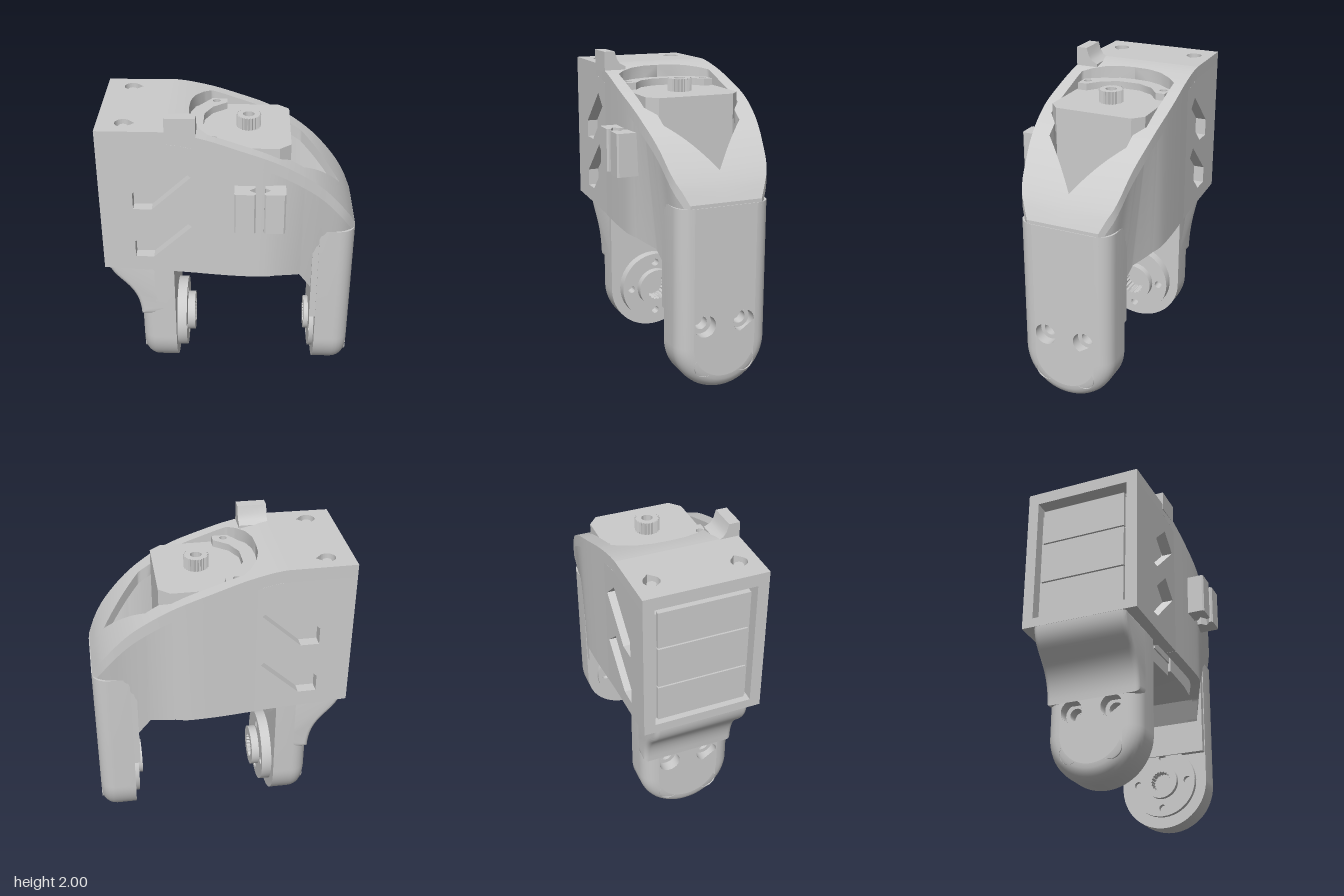
import * as THREE from 'three';
import { toCreasedNormals, mergeGeometries } from 'three/addons/utils/BufferGeometryUtils.js';

const CZ = -0.055; // centre plane of the bracket
const grey = new THREE.MeshStandardMaterial({ color: 0xcccccc, side: THREE.DoubleSide });

// Piecewise lookup, linear or smooth (Hermite)
function lookup(table, smooth = true) {
  const slope = (i) => {
    const a = table[Math.max(i - 1, 0)], b = table[Math.min(i + 1, table.length - 1)];
    return (b[1] - a[1]) / (b[0] - a[0]);
  };
  return (x) => {
    let i = 0;
    while (i < table.length - 2 && x > table[i + 1][0]) i++;
    const [x0, y0] = table[i], [x1, y1] = table[i + 1];
    const d = x1 - x0, t = THREE.MathUtils.clamp((x - x0) / d, 0, 1);
    if (!smooth) return y0 + (y1 - y0) * t;
    const t2 = t * t, t3 = t2 * t;
    return (2 * t3 - 3 * t2 + 1) * y0 + (t3 - 2 * t2 + t) * d * slope(i)
      + (3 * t2 - 2 * t3) * y1 + (t3 - t2) * d * slope(i + 1);
  };
}
const topY = lookup([[-0.8, 1.91], [-0.38, 1.91], [-0.16, 1.87], [0.06, 1.8], [0.25, 1.73], [0.4, 1.65],
  [0.55, 1.54], [0.68, 1.4], [0.76, 1.28], [0.8, 1.19]]);
const halfW = lookup([[-0.8, 0.38], [-0.38, 0.385], [0.15, 0.4], [0.4, 0.38], [0.6, 0.34], [0.72, 0.305], [0.8, 0.23]]);
const bottomY = lookup([[-0.8, 0.94], [-0.36, 0.92], [0, 0.9], [0.3, 0.89], [0.45, 0.85], [0.53, 0.72], [0.8, 0.72]], false);
const holeW = lookup([[-0.26, 0], [-0.255, 0.1], [-0.23, 0.19], [-0.18, 0.27], [-0.13, 0.32], [0.3, 0.32],
  [0.37, 0.26], [0.45, 0.255], [0.7, 0], [0.8, 0]], false);
const SLAB = 0.08, WALL = 0.07;

// Four-cornered sections along x, mirrored about the centre plane
function loft(xs, section) {
  const parts = [];
  const add = (pos, idx) => {
    const g = new THREE.BufferGeometry();
    g.setAttribute('position', new THREE.Float32BufferAttribute(pos, 3));
    g.setIndex(idx);
    g.computeVertexNormals();
    parts.push(g);
  };
  for (const s of [1, -1]) {
    const at = (x, k) => { const p = section(x)[k % 4]; return [x, p[1], CZ + s * p[0]]; };
    for (let k = 0; k < 4; k++) {
      const pos = [], idx = [];
      xs.forEach((x, i) => {
        pos.push(...at(x, k), ...at(x, k + 1));
        const a = 2 * i;
        if (i < xs.length - 1) idx.push(...(s > 0 ? [a, a + 2, a + 3, a, a + 3, a + 1] : [a, a + 3, a + 2, a, a + 1, a + 3]));
      });
      add(pos, idx);
    }
    [xs[0], xs[xs.length - 1]].forEach((x, e) => {
      const pos = [0, 1, 2, 3].flatMap((k) => at(x, k));
      add(pos, (e === 1) === (s > 0) ? [0, 2, 1, 0, 3, 2] : [0, 1, 2, 0, 2, 3]);
    });
  }
  return mergeGeometries(parts);
}

const poly = (pts) => new THREE.Shape(pts.map((p) => new THREE.Vector2(...p)));
const circle = (x, y, r) => new THREE.Path().absarc(x, y, r, 0, Math.PI * 2);
const extrude = (shape, depth, opts = {}) =>
  toCreasedNormals(new THREE.ExtrudeGeometry(shape, { depth, bevelEnabled: false, curveSegments: 20, ...opts }), 0.6);
// Extrude an (x, z) outline upward from y0 to y1
const plate = (shape, y0, y1) => extrude(shape, y1 - y0).rotateX(Math.PI / 2).translate(0, y1, 0);
const gear = (r0, r1, n) => Array.from({ length: n * 2 }, (_, i) => {
  const a = (i / n) * Math.PI, r = i % 2 ? r0 : r1;
  return new THREE.Vector2(r * Math.cos(a), r * Math.sin(a));
});

const SCREWS = [[-0.13, 0.18], [0.13, 0.18], [-0.13, 0.44], [0.13, 0.44]];

// Leg with round foot and rolled outer edge; outer face looks along +z at z = 0
function legGeometry(top, depth) {
  const r = 0.305, b = 0.1, n = 32;
  const ring = (d) => {
    const p = [];
    for (let i = 0; i <= n; i++) {
      const a = Math.PI * (1 + i / n);
      p.push([(r - d) * Math.cos(a), r + (r - d) * Math.sin(a)]);
    }
    return [...p, [r - d, top], [d - r, top]];
  };
  const levels = [[0, -depth]];
  for (let i = 0; i <= 6; i++) {
    const a = (i / 6) * Math.PI / 2;
    levels.push([b * (1 - Math.cos(a)), -b + b * Math.sin(a)]);
  }
  const m = n + 3, pos = [], idx = [];
  levels.forEach(([d, z]) => ring(d).forEach((p) => pos.push(p[0], p[1], z)));
  for (let l = 0; l < levels.length - 1; l++) for (let i = 0; i < m; i++) {
    const a = l * m + i, c = l * m + (i + 1) % m;
    idx.push(a, c, c + m, a, c + m, a + m);
  }
  const band = new THREE.BufferGeometry();
  band.setAttribute('position', new THREE.Float32BufferAttribute(pos, 3));
  band.setIndex(idx);
  // Outer face with counterbored screw holes
  const face = poly(ring(b));
  SCREWS.forEach(([x, y]) => face.holes.push(circle(x, y, 0.07)));
  const parts = [toCreasedNormals(band, 0.6), new THREE.ShapeGeometry(face, 20),
    new THREE.ShapeGeometry(poly(ring(0))).rotateY(Math.PI).translate(0, 0, -depth)];
  SCREWS.forEach(([x, y]) => {
    const bore = [[0, -0.14], [0.042, -0.14], [0.042, -0.07], [0.07, -0.07], [0.07, 0]].map((p) => new THREE.Vector2(...p));
    parts.push(toCreasedNormals(new THREE.LatheGeometry(bore, 24).rotateX(Math.PI / 2), 0.6).translate(x, y, 0));
  });
  return mergeGeometries(parts.map((g) => {
    const f = g.index ? g.toNonIndexed() : g;
    f.deleteAttribute('uv');
    return f;
  }));
}

export function createModel() {
  const model = new THREE.Group();
  const add = (name, geometry) => {
    const mesh = new THREE.Mesh(geometry, grey);
    mesh.name = name;
    model.add(mesh);
    return mesh;
  };
  const box = (name, x0, x1, y0, y1, hw) =>
    add(name, new THREE.BoxGeometry(x1 - x0, y1 - y0, hw * 2).translate((x0 + x1) / 2, (y0 + y1) / 2, CZ));

  // Curved cover with arrow-shaped opening, and the side walls below it
  const breaks = [-0.38, -0.26, -0.255, -0.23, -0.18, -0.13, 0.3, 0.37, 0.45, 0.53, 0.7, 0.795];
  const xs = [...breaks];
  for (let x = -0.35; x < 0.79; x += 0.03) if (breaks.every((v) => Math.abs(v - x) > 0.006)) xs.push(x);
  xs.sort((a, b) => a - b);
  add('cover', loft(xs, (x) => {
    const h = topY(x), w = halfW(x), o = holeW(x);
    return [[w, h - SLAB], [w, h], [o, h], [o, h - SLAB]];
  }));
  add('curvedWalls', loft([-0.2, ...xs.filter((x) => x > -0.19)], (x) => {
    const w = halfW(x), h = topY(x) - SLAB, wb = w - 0.1 * THREE.MathUtils.smoothstep(x, 0.2, 0.6);
    return [[wb, bottomY(x)], [w, h], [w - WALL, h], [wb - WALL, bottomY(x)]];
  }));

  // Flat rear top with two teardrop screw holes
  const rear = poly([[-0.8, CZ - 0.38], [-0.38, CZ - 0.385], [-0.38, CZ + 0.385], [-0.8, CZ + 0.38]]);
  for (const z of [-0.32, 0.21]) {
    const drop = new THREE.Path();
    drop.absarc(-0.64, z, 0.05, Math.PI / 4, Math.PI * 1.75);
    drop.lineTo(-0.57, z);
    rear.holes.push(drop);
    add('topScrew', new THREE.CylinderGeometry(0.028, 0.028, 0.06, 20).translate(-0.64, 1.86, z));
  }
  add('rearTop', plate(rear, 1.91 - SLAB, 1.91));

  // Flat rear walls with slanted slots
  for (const s of [1, -1]) {
    const wall = poly([[-0.8, 0.94], [-0.36, 0.92], [-0.2, 0.912], [-0.2, topY(-0.2) - SLAB],
      [-0.3, topY(-0.3) - SLAB], [-0.38, 1.83], [-0.8, 1.83]]);
    for (const dy of [0, -0.35])
      wall.holes.push(poly([[-0.595, 1.38], [-0.595, 1.49], [-0.35, 1.715], [-0.235, 1.61], [-0.48, 1.38]].map(([x, y]) => [x, y + dy])));
    const g = extrude(wall, WALL), p = g.attributes.position;
    for (let i = 0; i < p.count; i++) p.setZ(i, p.getZ(i) + CZ - WALL / 2 + s * (halfW(p.getX(i)) - WALL / 2));
    add('slottedWall', g);
  }
  box('rearFloor', -0.8, -0.3, 0.94, 1.0, 0.375);
  const floor = poly([[0.05, 0.9], [0.3, 0.89], [0.45, 0.85], [0.53, 0.72], [0.6, 0.72], [0.6, 1.1], [0.05, 1.1]]);
  add('frontFloor', extrude(floor, 0.52).translate(0, 0, CZ - 0.26));

  // Servo: casing, rear panels, top block, crescent flange and splined shaft
  box('servoCasing', -0.745, -0.2, 0.98, 1.76, 0.3);
  box('servoFront', -0.2, 0.37, 0.96, 1.62, 0.25);
  box('servoFoot', -0.3, 0.05, 0.87, 1.0, 0.24);
  [[1.01, 1.25], [1.26, 1.53], [1.54, 1.78]].forEach(([a, b]) => box('servoPanel', -0.77, -0.74, a, b, 0.28));
  const R = 0.31;
  const head = poly([[-0.18, 0.24], [-0.12, R], [0.3, R], [0.37, 0.25], [0.37, -0.25], [0.3, -R], [-0.12, -R], [-0.18, -0.24]]);
  add('servoTop', plate(head, 1.61, 1.77).translate(0, 0, CZ));
  const crescent = poly([[-0.03, 0.3], [-0.13, 0.3], [-0.2, 0.2], [-0.245, 0.08], [-0.245, -0.08], [-0.2, -0.2], [-0.13, -0.3],
    [-0.03, -0.3], [-0.03, -0.24], [-0.12, -0.17], [-0.17, -0.07], [-0.17, 0.07], [-0.12, 0.17], [-0.03, 0.24]]);
  for (const s of [1, -1]) crescent.holes.push(circle(-0.1, s * 0.264, 0.024));
  add('servoFlange', plate(crescent, 1.7, 1.815).translate(0, 0, CZ));
  const shaft = new THREE.Shape(gear(0.068, 0.077, 24));
  shaft.holes.push(circle(0, 0, 0.035));
  add('servoShaft', plate(shaft, 1.77, 1.85).translate(0.11, 0, CZ));

  // Tab on the top edge
  const tab = poly([[-0.335, 1.87], [-0.335, 2], [-0.265, 2], [-0.25, 1.95], [-0.23, 1.92], [-0.19, 1.9], [-0.19, 1.87]]);
  add('topTab', extrude(tab, 0.185).rotateY(Math.PI / 2).translate(-0.385, 0, 0));

  // Pair of cable clips on the front wall
  const clip = [[-0.155, 0.32], [-0.155, 0.445], [-0.145, 0.455], [-0.035, 0.455], [-0.025, 0.445], [-0.025, 0.43], [-0.065, 0.4], [-0.03, 0.37], [-0.03, 0.32]];
  for (const s of [1, -1]) add('cableClip', plate(poly(clip.map(([x, z]) => [0.185 + s * x, z])), 1.295, 1.565));

  // Legs
  const place = (mesh, x, dir) => {
    mesh.rotation.y = dir * Math.PI / 2;
    mesh.position.set(x, 0, CZ);
  };
  place(add('leftLeg', legGeometry(1.18, 0.23)), 0.8, 1);
  place(add('rightLeg', legGeometry(0.94, 0.23)), -0.595, -1);
  box('leftLegRib', 0.53, 0.585, 0.5, 1.1, 0.3);
  const flare = new THREE.Shape();
  flare.moveTo(-0.365, 0.55);
  flare.lineTo(-0.365, 0.96);
  flare.lineTo(-0.8, 0.96);
  flare.bezierCurveTo(-0.8, 0.76, -0.6, 0.78, -0.595, 0.5);
  flare.lineTo(-0.5, 0.5);
  add('rightLegFlare', extrude(flare, 0.55, { bevelEnabled: true, bevelSize: 0.03, bevelThickness: 0.03, bevelOffset: -0.03, bevelSegments: 4 })
    .translate(0, 0, CZ - 0.275));

  // Horn discs and hubs on the inner faces of the legs
  const disc = (name, x, dir, r, hub, depth, hubDepth) => {
    const flange = new THREE.Shape().absarc(0, 0, r, 0, Math.PI * 2);
    flange.holes.push(circle(0, 0, hub * 0.6));
    for (let i = 0; i < 4; i++) flange.holes.push(circle(0.18 * Math.cos(i * Math.PI / 2), 0.18 * Math.sin(i * Math.PI / 2), 0.026));
    place(add(name + 'Disc', extrude(flange, depth).translate(0, 0.31, 0)), x, dir);
    const ring = new THREE.Shape().absarc(0, 0, hub, 0, Math.PI * 2);
    ring.holes.push(new THREE.Path(gear(hub * 0.55, hub * 0.62, 20)));
    place(add(name + 'Hub', extrude(ring, hubDepth).translate(0, 0.31, 0)), x, dir);
  };
  disc('rightHorn', -0.365, 1, 0.243, 0.135, 0.065, 0.115);
  disc('leftHorn', 0.57, -1, 0.235, 0.115, 0.03, 0.062);
  return model;
}
